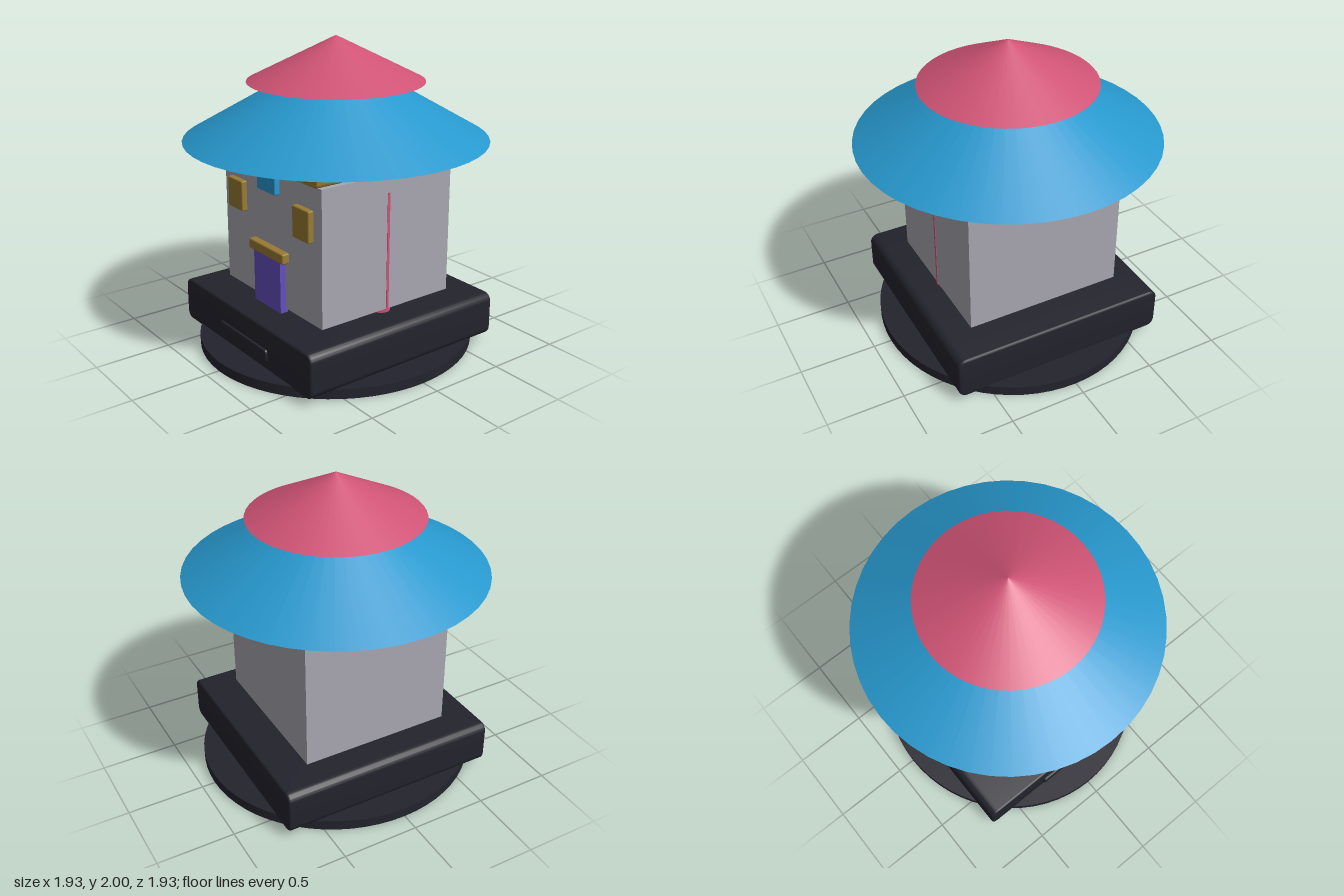
import * as THREE from 'three';
import { RoundedBoxGeometry } from 'three/addons/geometries/RoundedBoxGeometry.js';
import { toCreasedNormals } from 'three/addons/utils/BufferGeometryUtils.js';

const material = (name, color) => {
  const m = new THREE.MeshStandardMaterial({ color });
  m.name = name;
  return m;
};

// Rounded rectangle in x and y, extruded along z with a small bevel
function roundedSlab(w, h, d, radius, bevel) {
  const x = w / 2 - bevel, y = h / 2 - bevel, r = radius - bevel;
  const s = new THREE.Shape();
  s.moveTo(-x + r, -y);
  s.absarc(x - r, -y + r, r, -Math.PI / 2, 0);
  s.absarc(x - r, y - r, r, 0, Math.PI / 2);
  s.absarc(-x + r, y - r, r, Math.PI / 2, Math.PI);
  s.absarc(-x + r, -y + r, r, Math.PI, Math.PI * 1.5);
  const g = new THREE.ExtrudeGeometry(s, {
    depth: d - 2 * bevel, bevelSize: bevel, bevelThickness: bevel, bevelSegments: 3, curveSegments: 6,
  });
  g.translate(0, 0, -d / 2 + bevel);
  return toCreasedNormals(g, 0.6);
}

export function createModel() {
  const house = new THREE.Group();
  house.name = 'house';

  const dark = material('charcoal', 0x23232d);
  const grey = material('wall grey', 0xa8a6b0);
  const blue = material('roof blue', 0x2798cd);
  const pink = material('roof pink', 0xcf5375);
  const gold = material('trim gold', 0x987a33);
  const purple = material('door purple', 0x634fbe);

  const add = (name, geometry, mat, x, y, z) => {
    const mesh = new THREE.Mesh(geometry, mat);
    mesh.name = name;
    mesh.position.set(x, y, z);
    house.add(mesh);
    return mesh;
  };

  // Base: oval ground plate, rounded plinth and front step panel
  add('groundPlate', new THREE.CylinderGeometry(1, 1, 0.065, 64), dark, 0, 0.0325, 0).scale.set(0.88, 1, 0.912);
  add('plinth', roundedSlab(1.44, 0.29, 1.45, 0.055, 0.015), dark, 0, 0.193, 0);
  add('plinthPanel', roundedSlab(0.54, 0.083, 0.04, 0.02, 0.005), dark, 0, 0.153, 0.72);

  // Walls, floating slightly above the plinth and below the eave
  add('walls', new THREE.BoxGeometry(1.052, 0.874, 1.0), grey, 0, 0.801, 0);

  // Door and the details on the front wall
  add('door', new THREE.BoxGeometry(0.292, 0.342, 0.053), purple, 0, 0.509, 0.5135);
  add('doorLintel', new RoundedBoxGeometry(0.378, 0.068, 0.055, 2, 0.01), gold, 0, 0.711, 0.5225);
  for (const side of [-1, 1]) {
    add(side > 0 ? 'leftWindow' : 'rightWindow',
      new RoundedBoxGeometry(0.167, 0.2, 0.05, 2, 0.008), gold, side * 0.36, 0.99, 0.512);
  }
  add('topWindow', new RoundedBoxGeometry(0.198, 0.112, 0.05, 2, 0.008), blue, 0, 1.151, 0.512);

  // Thin pole on the left wall with its round foot
  add('pole', new THREE.BoxGeometry(0.016, 0.77, 0.018), pink, 0.521, 0.737, 0);
  add('poleFoot', new THREE.CylinderGeometry(0.063, 0.063, 0.03, 24), pink, 0.46, 0.352, 0);

  // Eave board and two stacked conical roofs
  add('eave', roundedSlab(1.25, 0.1, 1.21, 0.022, 0.006), gold, 0, 1.336, 0);
  add('lowerRoof', new THREE.ConeGeometry(0.964, 0.557, 48), blue, 0, 1.6385, 0);
  add('upperRoof', new THREE.ConeGeometry(0.558, 0.28, 48), pink, 0, 1.86, 0);

  return house;
}
